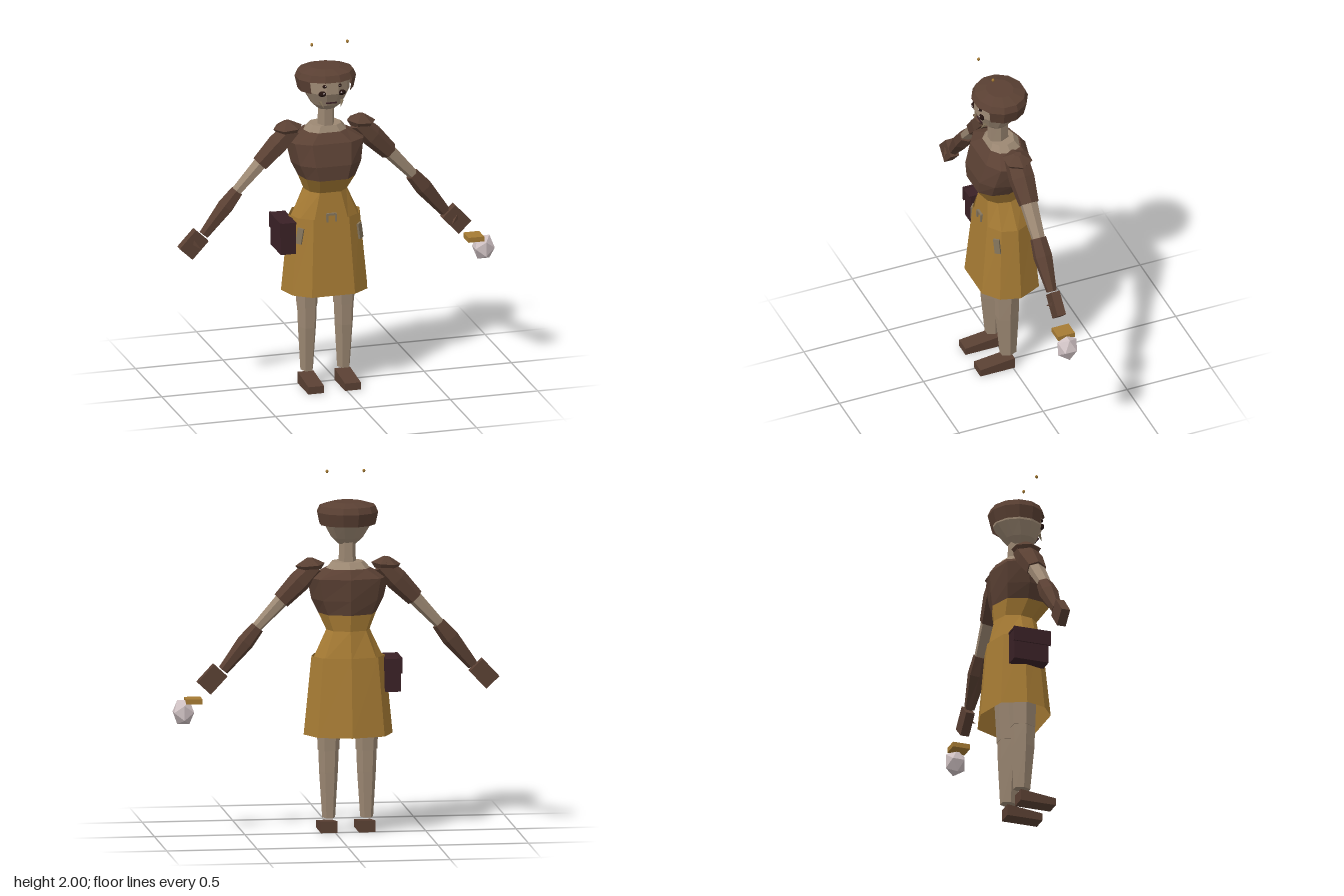
import * as THREE from 'three';

const material = (name, color, extra = {}) => new THREE.MeshStandardMaterial({ name, color, ...extra });

// Unit cross-section with n sides, flat side towards +z
const polygon = (n) => Array.from({ length: n }, (_, i) => {
  const a = ((i + 0.5) / n) * Math.PI * 2;
  return [Math.sin(a), Math.cos(a) / Math.cos(Math.PI / n)];
});
const HEX = polygon(6);
const ROUND = polygon(12);
// Body section: flat front, ridge along the back
const BODY = [[0.5, 1], [0.87, 0.62], [1, 0], [0.75, -0.72], [0, -1], [-0.75, -0.72], [-1, 0], [-0.87, 0.62], [-0.5, 1]];

// Skin rings [y, halfWidth, zFront, zBack] listed from bottom to top
function loft(section, rings, { caps = true, open = false } = {}) {
  const pos = [];
  const tri = (...pts) => pts.forEach((p) => pos.push(...p));
  const loops = rings.map(([y, hx, f, b]) =>
    section.map(([u, v]) => [u * hx, y, (f + b) / 2 + (v * (f - b)) / 2]));
  const n = section.length;
  const count = open ? n - 1 : n;
  for (let i = 0; i < loops.length - 1; i++) {
    for (let j = 0; j < count; j++) {
      const k = (j + 1) % n;
      const [a, b, c, d] = [loops[i][j], loops[i][k], loops[i + 1][j], loops[i + 1][k]];
      tri(a, b, d);
      tri(a, d, c);
    }
  }
  if (caps) {
    const centre = ([y, , f, b]) => [0, y, (f + b) / 2];
    const last = rings.length - 1;
    for (let j = 0; j < n; j++) {
      const k = (j + 1) % n;
      tri(centre(rings[0]), loops[0][k], loops[0][j]);
      tri(centre(rings[last]), loops[last][j], loops[last][k]);
    }
  }
  const geo = new THREE.BufferGeometry();
  geo.setAttribute('position', new THREE.Float32BufferAttribute(pos, 3));
  geo.computeVertexNormals();
  return geo;
}

export function createModel() {
  const brown = material('brown leather', 0x5a4033, { flatShading: true });
  const hair = material('brown leather open', 0x5a4033, { flatShading: true, side: THREE.DoubleSide });
  const gold = material('ochre cloth', 0xa67b34, { flatShading: true, side: THREE.DoubleSide });
  const skin = material('tan skin', 0x9c8873, { flatShading: true });
  const maroon = material('dark maroon', 0x3a2126, { flatShading: true });
  const black = material('eye dark', 0x24130f, { flatShading: true });
  const pale = material('pale stone', 0xd0c2c4, { flatShading: true });
  const metal = material('dull metal', 0x85755c, { flatShading: true });

  const model = new THREE.Group();
  const figure = new THREE.Group();
  figure.name = 'figure';
  figure.position.x = -0.07;
  model.add(figure);

  const add = (name, geo, mat, x = 0, y = 0, z = 0, parent = figure) => {
    const mesh = new THREE.Mesh(geo, mat);
    mesh.name = name;
    mesh.position.set(x, y, z);
    parent.add(mesh);
    return mesh;
  };
  const box = (w, h, d) => new THREE.BoxGeometry(w, h, d);

  // Limb from one point to another; profile is [fraction, halfWidth, halfDepth]
  const limb = (name, from, to, profile, mat) => {
    const dir = to.clone().sub(from);
    const len = dir.length();
    const geo = loft(HEX, profile.map(([t, w, d]) => [t * len, w, d, -d]));
    const mesh = add(name, geo, mat, from.x, from.y, from.z);
    mesh.quaternion.setFromUnitVectors(new THREE.Vector3(0, 1, 0), dir.normalize());
    return mesh;
  };

  // Torso, skirt and collar
  add('chest', loft(BODY, [
    [1.22, 0.16, 0.18, -0.12], [1.3, 0.2, 0.18, -0.13], [1.42, 0.225, 0.145, -0.135], [1.47, 0.125, 0.1, -0.1],
  ]), brown);
  add('waist', loft(BODY, [
    [0.97, 0.195, 0.13, -0.145], [1.13, 0.12, 0.115, -0.11], [1.22, 0.16, 0.18, -0.12],
  ]), gold);
  add('skirt', loft(BODY, [[0.55, 0.246, 0.175, -0.19], [0.985, 0.203, 0.135, -0.15]], { caps: false }), gold);
  add('collar', loft(BODY, [[1.46, 0.13, 0.1, -0.1], [1.505, 0.09, 0.08, -0.06]]), skin);
  add('neck', loft(HEX, [[1.48, 0.048, 0.08, -0.025], [1.63, 0.045, 0.08, -0.02]]), skin);

  // Belt fittings
  add('buckle', box(0.055, 0.012, 0.012), metal, 0, 1.01, 0.135);
  for (const s of [-1, 1]) {
    add('buckleSide', box(0.01, 0.045, 0.012), metal, s * 0.025, 0.99, 0.138);
    const clasp = add('beltClasp', box(0.035, 0.09, 0.012), metal, s * 0.172, 0.89, 0.105);
    clasp.rotation.set(-0.08, s * 0.75, s * 0.2);
  }

  // Head and cap
  add('head', loft(ROUND, [
    [1.6, 0.05, 0.08, -0.01], [1.635, 0.088, 0.125, -0.045], [1.71, 0.13, 0.158, -0.105], [1.79, 0.135, 0.152, -0.11],
  ]), skin);
  add('cap', loft(ROUND, [
    [1.78, 0.17, 0.168, -0.132], [1.815, 0.155, 0.15, -0.118], [1.835, 0.085, 0.09, -0.055],
  ]), brown);
  add('capBand', loft(ROUND.slice(1, 11), [
    [1.71, 0.155, 0.155, -0.115], [1.78, 0.17, 0.168, -0.132],
  ], { caps: false, open: true }), hair);

  // Face
  const ball = new THREE.SphereGeometry(1, 10, 6);
  const blob = (name, mat, x, y, z, sx, sy, sz) => add(name, ball, mat, x, y, z).scale.set(sx, sy, sz);
  for (const s of [-1, 1]) {
    blob('eye', black, s * 0.055, 1.715, 0.148, 0.024, 0.016, 0.012);
    blob('eyeGlint', pale, s * 0.05, 1.719, 0.159, 0.005, 0.004, 0.003);
    blob('smallEye', black, s * 0.043, 1.757, 0.148, 0.012, 0.01, 0.012);
    blob('smallEyeGlint', pale, s * 0.041, 1.76, 0.16, 0.003, 0.003, 0.002);
    const fang = add('mandible', new THREE.ConeGeometry(0.01, 0.045, 5), metal, s * 0.055, 1.648, 0.14);
    fang.rotation.set(2.6, 0, s * 0.4);
    blob('antennaTip', gold, s * 0.102, 1.99, 0.1, 0.008, 0.01, 0.008);
  }
  add('mouth', box(0.06, 0.008, 0.008), maroon, 0, 1.655, 0.136);

  // Limbs, mirrored
  for (const s of [-1, 1]) {
    const p = (x, y, z = 0) => new THREE.Vector3(s * x, y, z);

    const pad = add('shoulderPad', loft(HEX, [
      [-0.03, 0.06, 0.055, -0.055], [0, 0.082, 0.072, -0.072], [0.035, 0.02, 0.02, -0.02],
    ]), brown, s * 0.21, 1.492, 0);
    pad.rotation.z = -s * 0.08;
    limb('sleeve', p(0.185, 1.485), p(0.37, 1.295),
      [[0, 0.05, 0.06], [0.45, 0.062, 0.065], [1, 0.05, 0.05]], brown);
    limb('forearm', p(0.36, 1.305), p(0.525, 1.127), [[0, 0.04, 0.045], [1, 0.028, 0.032]], skin);
    limb('bracer', p(0.5, 1.15), p(0.69, 0.915),
      [[0, 0.038, 0.04], [0.35, 0.048, 0.047], [1, 0.03, 0.025]], brown);
    const hand = add('hand', box(0.1, 0.135, 0.05), brown, s * 0.752, 0.868, 0);
    hand.rotation.z = s * 0.75;
    const thumb = add('thumb', new THREE.ConeGeometry(0.018, 0.06, 4), brown, s * 0.735, 0.865, 0.03);
    thumb.rotation.set(2.4, 0, s * 0.6);

    add('thigh', loft(HEX, [[0.46, 0.06, 0.08, -0.045], [0.95, 0.08, 0.095, -0.07]]), skin, s * 0.105);
    add('calf', loft(HEX, [
      [0.085, 0.036, 0.055, -0.03], [0.34, 0.052, 0.077, -0.04], [0.47, 0.057, 0.08, -0.043],
    ]), skin, s * 0.105);

    // Wedge foot, lower at the toe
    const foot = box(0.09, 0.065, 0.205).toNonIndexed();
    const v = foot.attributes.position;
    for (let i = 0; i < v.count; i++) if (v.getY(i) > 0 && v.getZ(i) > 0) v.setY(i, 0.009);
    foot.computeVertexNormals();
    add('foot', foot, brown, s * 0.105, 0.0325, 0.0925);
  }

  // Hip bag
  add('bag', box(0.085, 0.18, 0.2), maroon, -0.2375, 0.88, 0.005);
  add('bagFlap', box(0.012, 0.085, 0.215), maroon, -0.282, 0.935, 0.008);
  add('bagLid', box(0.09, 0.01, 0.215), maroon, -0.24, 0.969, 0.008);

  // Floating mace beside the left hand
  add('maceHandle', box(0.09, 0.028, 0.1), gold, 0.785, 0.75, 0, model);
  const head = add('maceHead', new THREE.IcosahedronGeometry(0.065, 0), pale, 0.84, 0.688, 0, model);
  head.scale.set(1, 1.2, 1);

  return model;
}
